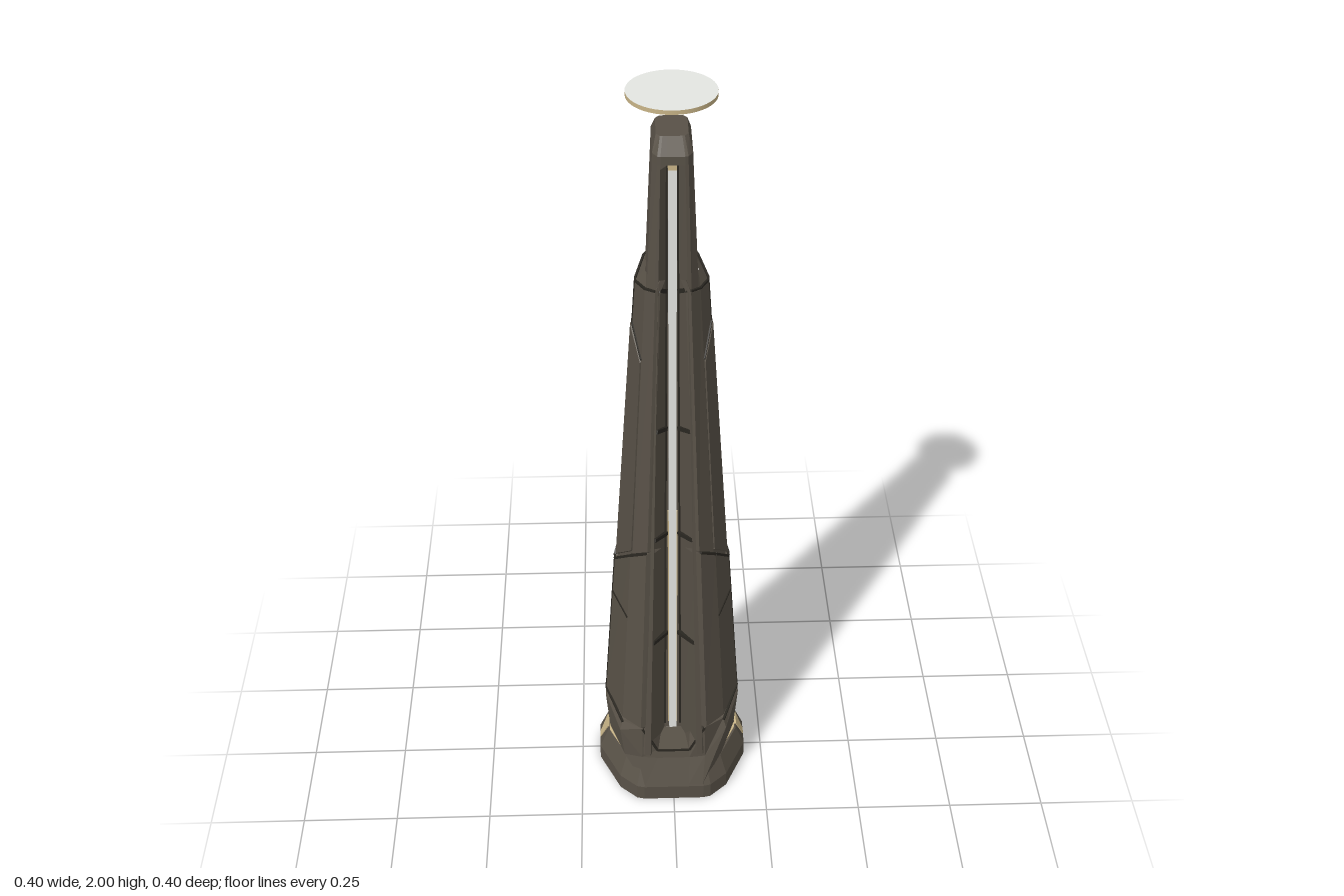
import * as THREE from 'three';

const mat = (name, color) => {
  const m = new THREE.MeshStandardMaterial({ color });
  m.name = name;
  return m;
};
const lerp = (a, b, t) => a + (b - a) * t;

// Flat-shaded skin over rows of points (low to high); closed rows wrap and get end caps
function loft(rows, closed) {
  const pos = [], n = rows[0].length;
  const tri = (...pts) => pts.forEach((p) => pos.push(...p));
  for (let j = 0; j < rows.length - 1; j++) {
    for (let i = 0; i < (closed ? n : n - 1); i++) {
      const k = (i + 1) % n, a = rows[j], b = rows[j + 1];
      tri(a[i], a[k], b[k]);
      tri(a[i], b[k], b[i]);
    }
  }
  if (closed) {
    const lo = rows[0], hi = rows[rows.length - 1];
    const mid = (r) => [0, r.reduce((s, p) => s + p[1], 0) / n, 0];
    for (let i = 0; i < n; i++) {
      const k = (i + 1) % n;
      tri(mid(lo), lo[k], lo[i]);
      tri(mid(hi), hi[i], hi[k]);
    }
  }
  const g = new THREE.BufferGeometry();
  g.setAttribute('position', new THREE.Float32BufferAttribute(pos, 3));
  g.computeVertexNormals();
  return g;
}

// Mirrors a quarter outline [x, y, z] (front to side) into a full ring
function ring(q) {
  const m = (sx, sz) => q.map(([x, y, z]) => [x * sx, y, z * sz]);
  return [...m(1, 1), ...m(1, -1).reverse(), ...m(-1, -1), ...m(-1, 1).reverse()];
}

// Half depth of the tower, and the outline of one side as fractions of width and depth
const depth = (y) => 0.17 - 0.052 * (y - 0.24);
const SIDE = [[0.49, 1], [0.76, 0.74], [1, 0.05], [1, -0.05], [0.76, -0.74], [0.49, -1]];
const lowerX = (y) => 0.178 - 0.068 * (y - 0.24);
const upperX = (y) => 0.138 - 0.066 * (y - 0.72);

export function createModel() {
  const body = mat('dark stone metal', 0x585147);
  const seam = mat('dark seam', 0x2b2822);
  const gold = mat('pale gold', 0xc9b588);
  const light = mat('pale light', 0xe4e6e2);

  const model = new THREE.Group();
  const add = (name, geo, material, parent = model) => {
    const m = new THREE.Mesh(geo, material);
    m.name = name;
    parent.add(m);
    return m;
  };
  // Thin square bar between two points, in the parent's own frame
  const up = new THREE.Vector3(0, 1, 0);
  const bar = (name, p, q, w, material, parent) => {
    const a = new THREE.Vector3(...p), b = new THREE.Vector3(...q);
    const m = add(name, new THREE.BoxGeometry(w, w, a.distanceTo(b)), material, parent);
    m.quaternion.setFromRotationMatrix(new THREE.Matrix4().lookAt(b, a, up));
    m.position.copy(a).add(b).multiplyScalar(0.5);
    return m;
  };

  // Base plinth with a gold ledge under the collar
  const plinth = (y, s) => ring([[0.08, y, 0.2], [0.1, y, 0.195], [0.145, y, 0.155], [0.2, y, 0.04]]
    .map(([x, , z]) => [x * s, y, z * s]));
  add('base', loft([plinth(0, 1), plinth(0.045, 1), plinth(0.1, 0.885)], true), body);
  add('goldLedge', loft([plinth(0.099, 0.862), plinth(0.103, 0.862)], true), gold);
  add('baseGroove', loft([plinth(0.1, 0.79), plinth(0.13, 0.79)], true), seam);

  // Collar: dips at the front and back, where it runs down over the plinth
  add('collar', loft([
    ring([[0.04, 0.06, 0.15], [0.07, 0.06, 0.15], [0.11, 0.115, 0.11], [0.14, 0.115, 0.02]]),
    ring([[0.04, 0.05, 0.199], [0.078, 0.05, 0.199], [0.132, 0.11, 0.136], [0.171, 0.11, 0.025]]),
    ring([[0.043, 0.125, 0.168], [0.085, 0.13, 0.168], [0.143, 0.2, 0.132], [0.181, 0.225, 0.02]]),
    ring([[0.041, 0.152, 0.162], [0.083, 0.235, 0.165], [0.135, 0.225, 0.122], [0.17, 0.245, 0.015]]),
    ring([[0.03, 0.155, 0.08], [0.05, 0.235, 0.1], [0.09, 0.235, 0.08], [0.1, 0.25, 0.02]]),
  ], true), body);

  // Core shaft with a deep tapered channel in the front and back
  const floorZ = (y) => lerp(0.08, 0.04, (y - 0.15) / 1.72);
  const core = (y, channel = true) => {
    const t = (y - 0.24) / 1.63, Z = depth(y) - 0.002;
    return ring([
      [lerp(0.022, 0.013, t), y, channel ? floorZ(y) : Z],
      [lerp(0.06, 0.027, t), y, Z],
      [lerp(0.075, 0.034, t), y, Z - 0.002],
      [lerp(0.116, 0.045, t), y, Z * 0.76],
    ]);
  };
  const cap = (y, sx, sz) => core(1.88, false).map(([x, , z]) => [x * sx, y, z * sz]);
  add('coreShaft', loft([core(0.14), core(0.7), core(1.56), core(1.855), core(1.865, false),
    cap(1.885, 1, 1), cap(1.918, 0.8, 0.6)], true), body);

  // Armour plate over columns of the side outline, with sloping ends and turned-in edges
  const plate = (X, cols, bottom, top, out, inset, topRise) => {
    const point = (c, yOf, k, dy) => {
      const [fx, fz] = cols[c], y = yOf(Math.abs(fz));
      return [(X(y) + out) * fx * k, y + dy, depth(y) * fz * (k < 1 ? 0.95 : 1)];
    };
    const row = (yOf, k, dy) => {
      const r = cols.map((_, c) => point(c, yOf, k, dy));
      const turn = ([x, y, z]) => [x - inset, y, z * 0.96];
      return [turn(r[0]), ...r, turn(r[r.length - 1])];
    };
    return loft([row(bottom, 0.86, 0), row(bottom, 1, 0.008), row(top, 1, 0), row(top, 0.72, topRise)], false);
  };
  const vLow = (f) => 0.69 + 0.13 * f;
  const hexTop = (f) => 1.415 - 0.08 * f;
  const skin = (X, [fx, fz], y) => [X(y) * fx, y, depth(y) * fz];

  // Both flanks
  for (const turn of [0, Math.PI]) {
    const side = new THREE.Group();
    side.name = turn ? 'rightFlank' : 'leftFlank';
    side.rotation.y = turn;
    model.add(side);
    add('lowerPlate', plate(lowerX, SIDE, () => 0.235, vLow, 0, 0.02, 0.012), body, side);
    add('upperPlate', plate(upperX, SIDE, vLow, (f) => 1.525 + 0.03 * f, 0, 0.012, 0.03), body, side);
    add('hexPlate', plate(upperX, SIDE.slice(1, 5), (f) => vLow(f) + 0.012, hexTop, 0.005, 0.006, 0.008), body, side);

    // Seams along plate edges
    const along = (X, yOf, cols, w) => {
      for (let i = 0; i < cols.length - 1; i++) {
        bar('plateSeam', skin(X, cols[i], yOf(Math.abs(cols[i][1]))),
          skin(X, cols[i + 1], yOf(Math.abs(cols[i + 1][1]))), w, seam, side);
      }
    };
    along(lowerX, (f) => vLow(f) + 0.004, SIDE, 0.006);
    along(upperX, (f) => hexTop(f) + 0.008, SIDE.slice(1, 5), 0.006);
    along(upperX, (f) => 1.53 + 0.03 * f, SIDE, 0.005);
    along(lowerX, () => 0.59, SIDE.slice(1, 5), 0.005);
    along(lowerX, (f) => 0.24 - 0.02 * f, SIDE.slice(1, 5), 0.006);
    const mid = [1, 0];
    bar('centreSeam', skin(lowerX, mid, 0.24), skin(lowerX, mid, 0.69), 0.005, seam, side);
    bar('centreSeam', skin(upperX, mid, 1.42), skin(upperX, mid, 1.53), 0.005, seam, side);

    // Dark slot with a gold wedge in the base
    const slot = add('baseSlot', new THREE.BoxGeometry(0.004, 0.043, 0.016), seam, side);
    slot.position.set(0.1984, 0.0225, 0);
    const wedge = new THREE.Shape([[-0.01, 0], [0.01, 0], [0.023, 0.058], [-0.023, 0.058]]
      .map(([x, y]) => new THREE.Vector2(x, y)));
    const g = new THREE.ExtrudeGeometry(wedge, { depth: 0.006, bevelEnabled: false });
    g.rotateX(-0.38).rotateY(Math.PI / 2);
    add('goldWedge', g, gold, side).position.set(0.1945, 0.047, 0);
  }

  // Light strip, gold backing and ribs inside each channel
  for (const turn of [0, Math.PI]) {
    const channel = new THREE.Group();
    channel.name = turn ? 'backChannel' : 'frontChannel';
    channel.rotation.y = turn;
    model.add(channel);
    const at = (y, dz) => [0, y, floorZ(y) + dz];
    bar('lightStrip', at(0.17, 0.008), at(1.84, 0.008), 0.019, light, channel);
    bar('goldBacking', at(0.18, -0.006), at(0.9, -0.006), 0.024, gold, channel);
    bar('goldTip', at(1.84, 0.008), at(1.864, 0.008), 0.02, gold, channel);
    for (const y of [0.52, 0.85, 1.17, 1.55]) {
      const t = (y - 0.24) / 1.63, lip = lerp(0.06, 0.027, t), z = depth(y);
      for (const s of [-1, 1]) {
        bar('channelRib', [s * 0.016, y - 0.02, floorZ(y) + 0.004], [s * lip, y + 0.01, z - 0.006], 0.01, seam, channel);
      }
    }
    // Edge seams of the channel
    for (const s of [-1, 1]) {
      bar('channelSeam', [s * 0.021, 0.17, floorZ(0.17)], [s * 0.013, 1.85, floorZ(1.85)], 0.006, seam, channel);
      bar('collarSeam', [s * 0.043, 0.149, 0.162], [s * 0.083, 0.232, 0.163], 0.006, seam, channel);
    }
    bar('collarSeam', [-0.043, 0.149, 0.162], [0.043, 0.149, 0.162], 0.006, seam, channel);
  }

  // Floating disc: gold rim, pale top, dark underside
  const disc = new THREE.CylinderGeometry(0.101, 0.101, 0.01, 48);
  add('floatingDisc', disc, [gold, light, body]).position.set(0, 1.995, -0.004);

  return model;
}
